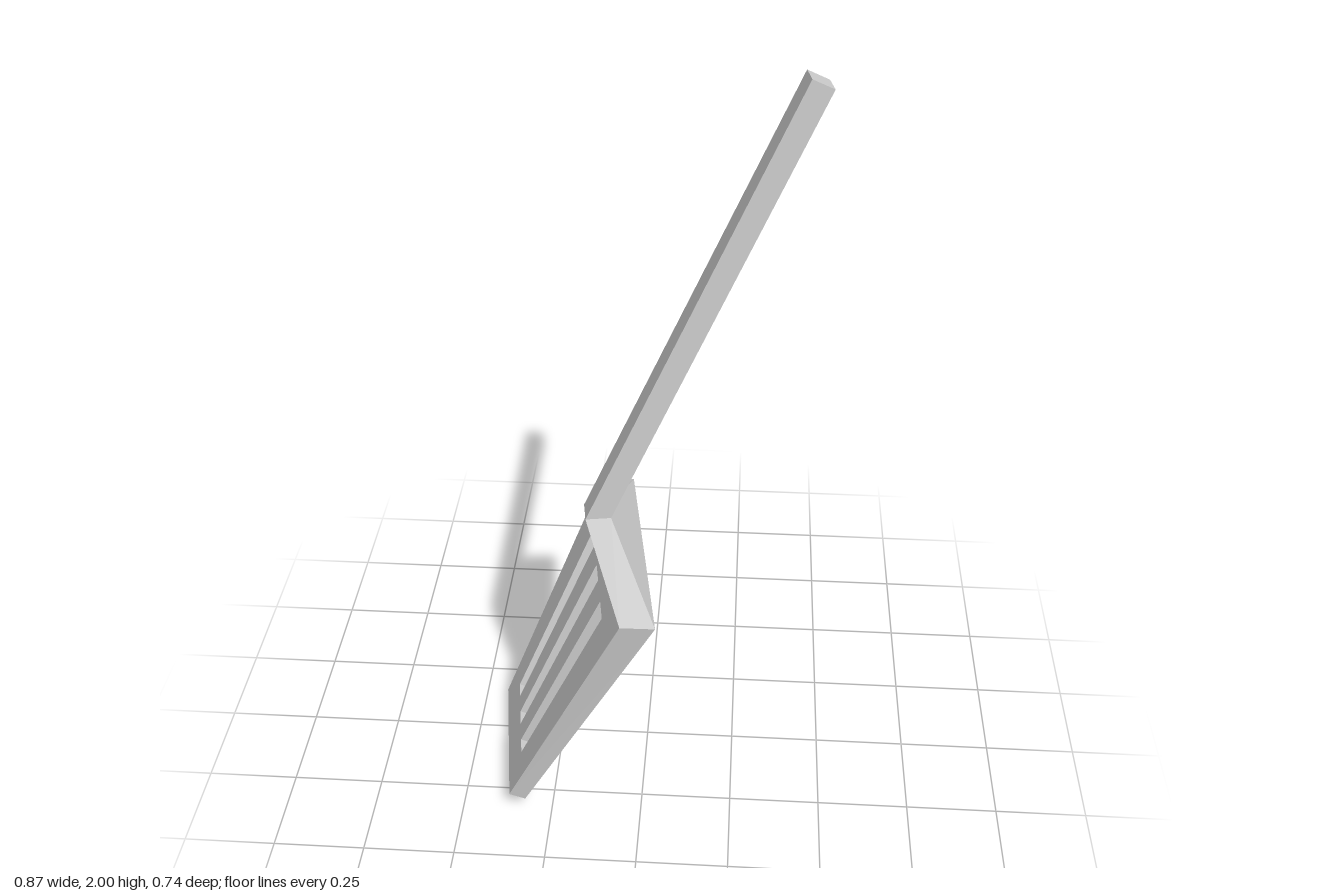
import * as THREE from 'three';

const material = new THREE.MeshStandardMaterial({ color: 0xcccccc, flatShading: true });

function part(name, geometry) {
  const flat = geometry.index ? geometry.toNonIndexed() : geometry;
  flat.computeVertexNormals();
  const mesh = new THREE.Mesh(flat, material);
  mesh.name = name;
  return mesh;
}

// Four-sided bar between two end sections: half width, back [y, z] and front [y, z]
function bar(lower, upper) {
  const g = new THREE.BoxGeometry(2, 2, 2);
  const p = g.attributes.position;
  for (let i = 0; i < p.count; i++) {
    const end = p.getY(i) < 0 ? lower : upper;
    const [y, z] = p.getZ(i) < 0 ? end.back : end.front;
    p.setXYZ(i, Math.sign(p.getX(i)) * end.half, y, z);
  }
  return g;
}

const points = (list) => list.map(([x, y]) => new THREE.Vector2(x, y));

// Slotted blade, thickening from the tip towards the neck
function bladeGeometry() {
  const topY = 0.728, lean = 0.03;
  const shape = new THREE.Shape(points([[-0.232, 0], [0.232, 0], [0.3675, topY], [-0.3675, topY]]));
  const slots = [[-0.152, -0.098, -0.214, -0.137], [-0.027, 0.027, -0.038, 0.038], [0.098, 0.152, 0.137, 0.214]];
  for (const [b0, b1, t0, t1] of slots) {
    shape.holes.push(new THREE.Path(points([[b0, 0.09], [t0, 0.64], [t1, 0.64], [b1, 0.09]])));
  }
  const g = new THREE.ExtrudeGeometry(shape, { depth: 1, bevelEnabled: false });
  const p = g.attributes.position;
  for (let i = 0; i < p.count; i++) {
    let y = p.getY(i);
    const front = p.getZ(i) > 0.5;
    if (front && y > 0.7) y += lean;
    p.setY(i, y);
    p.setZ(i, front ? 0.048 + 0.039 * y / (topY + lean) : 0);
  }
  return g;
}

export function createModel() {
  const model = new THREE.Group();
  const spatula = new THREE.Group();
  spatula.name = 'spatula';

  const bladeTop = { half: 0.3675, back: [0.728, 0], front: [0.758, 0.087] };
  const handleBase = { half: 0.0375, back: [0.808, -0.112], front: [0.838, -0.05] };
  const handleEnd = { half: 0.0375, back: [2.12, -0.112], front: [2.12, -0.05] };

  spatula.add(part('blade', bladeGeometry()));
  spatula.add(part('neck', bar(bladeTop, handleBase)));
  spatula.add(part('handle', bar(handleBase, handleEnd)));

  // Leaning pose: y runs along the handle, x across the blade
  const along = new THREE.Vector3(0.412, 0.903, -0.122).normalize();
  const across = new THREE.Vector3(-0.147, -0.071, -0.986);
  const out = across.clone().cross(along).normalize();
  across.copy(along).cross(out);
  spatula.quaternion.setFromRotationMatrix(new THREE.Matrix4().makeBasis(across, along, out));
  spatula.position.set(-0.402, 0.037, 0.094);

  model.add(spatula);
  return model;
}
